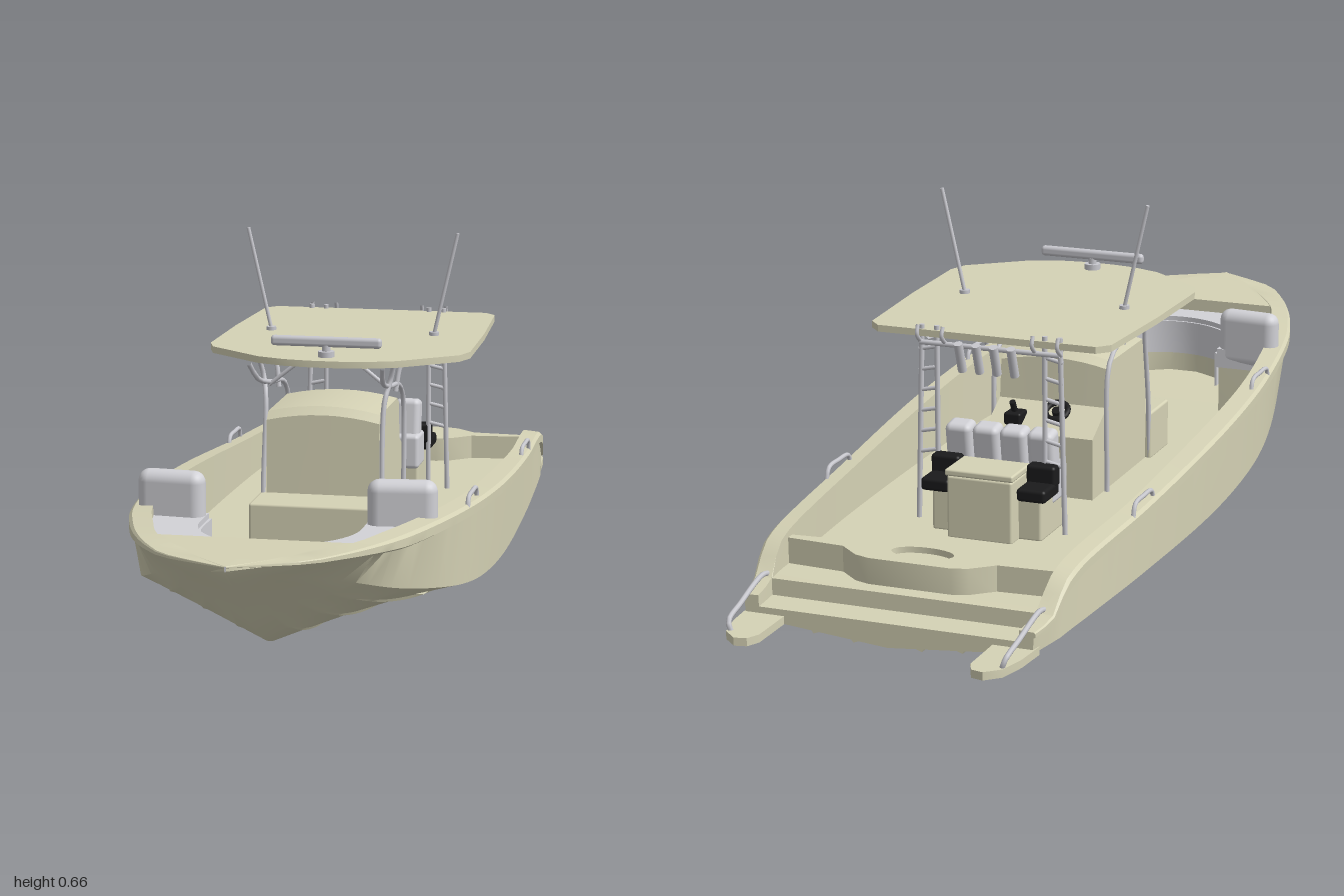
import * as THREE from 'three';
import { toCreasedNormals } from 'three/addons/utils/BufferGeometryUtils.js';
import { RoundedBoxGeometry } from 'three/addons/geometries/RoundedBoxGeometry.js';

const mat = (name, color) => Object.assign(new THREE.MeshStandardMaterial({ color }), { name });

export function createModel() {
  const boat = new THREE.Group();
  boat.name = 'centerConsoleBoat';
  const gelcoat = mat('olive gelcoat', 0xd5d2b5);
  const cushion = mat('grey cushion', 0xd2d2d7);
  const metal = mat('grey metal', 0xc8c8ce);
  const black = mat('black trim', 0x1b1b1c);

  const add = (name, geo, material, x = 0, y = 0, z = 0) => {
    const m = new THREE.Mesh(geo, material);
    m.name = name;
    m.position.set(x, y, z);
    boat.add(m);
    return m;
  };
  // Rounded box from its limits
  const box = (name, material, x0, x1, y0, y1, z0, z1, r) =>
    add(name, new RoundedBoxGeometry(x1 - x0, y1 - y0, z1 - z0, 3, r), material, (x0 + x1) / 2, (y0 + y1) / 2, (z0 + z1) / 2);
  const tube = (name, pts, r = 0.005) => {
    const curve = new THREE.CatmullRomCurve3(pts.map(p => new THREE.Vector3(...p)), false, 'centripetal');
    add(name, new THREE.TubeGeometry(curve, pts.length > 2 ? 20 : 1, r, 8), metal);
  };
  const rod = (name, a, b, r, material = metal) => {
    const A = new THREE.Vector3(...a), d = new THREE.Vector3(...b).sub(A);
    const m = add(name, new THREE.CylinderGeometry(r, r, d.length(), 12), material);
    m.position.copy(A).addScaledVector(d, 0.5);
    m.quaternion.setFromUnitVectors(new THREE.Vector3(0, 1, 0), d.normalize());
  };
  // Plan outline in (x, z) raised from y0 to y1
  const plan = (name, material, pts, y0, y1, hole) => {
    const v = list => list.map(([x, z]) => new THREE.Vector2(x, -z));
    const shape = new THREE.Shape(v(pts));
    if (hole) shape.holes.push(new THREE.Path(v(hole)));
    const geo = new THREE.ExtrudeGeometry(shape, { depth: y1 - y0, bevelEnabled: false });
    geo.rotateX(-Math.PI / 2);
    return add(name, toCreasedNormals(geo, 0.6), material, 0, y0, 0);
  };
  const mirrored = half => [...half, ...half.slice().reverse().map(([x, z]) => [-x, z])];
  const arc = (cx, cz, rx, rz, a0, a1, n) => Array.from({ length: n }, (_, i) => {
    const a = a0 + (a1 - a0) * i / (n - 1);
    return [cx + rx * Math.cos(a), cz + rz * Math.sin(a)];
  });
  const oval = (rx, rz) => arc(0, -0.71, rx, rz, 0, Math.PI * 1.92, 24);
  const both = f => [1, -1].forEach(f);

  // Hull guides: z, sheer half width, sheer y, chine x, chine y, keel y, coaming x
  const guides = [
    [-0.87, 0.28, 0.075, 0.275, 0.035, 0.01, 0.25],
    [-0.805, 0.29, 0.085, 0.285, 0.035, 0.009, 0.255],
    [-0.77, 0.295, 0.12, 0.29, 0.035, 0.008, 0.26],
    [-0.74, 0.298, 0.138, 0.292, 0.036, 0.008, 0.262],
    [-0.66, 0.302, 0.152, 0.297, 0.036, 0.007, 0.265],
    [-0.4, 0.317, 0.167, 0.31, 0.036, 0.005, 0.28],
    [-0.05, 0.329, 0.195, 0.32, 0.04, 0.004, 0.288],
    [0.2, 0.325, 0.214, 0.316, 0.055, 0.004, 0.285],
    [0.37, 0.31, 0.225, 0.3, 0.077, 0.005, 0.27],
    [0.56, 0.282, 0.237, 0.262, 0.115, 0.011, 0.24],
    [0.68, 0.25, 0.241, 0.225, 0.145, 0.036, 0.207],
    [0.77, 0.217, 0.244, 0.18, 0.174, 0.082, 0.177],
    [0.86, 0.172, 0.247, 0.125, 0.203, 0.145, 0.12],
    [0.93, 0.12, 0.249, 0.07, 0.222, 0.192, 0.07],
    [1.0, 0.002, 0.25, 0.0015, 0.242, 0.24, 0.001],
  ];
  // Smooth interpolation of every guide column at z
  const guideAt = z => {
    const last = guides.length - 1;
    let i = 0;
    while (i < last - 1 && guides[i + 1][0] < z) i++;
    const a = guides[i], b = guides[i + 1], dz = b[0] - a[0], t = (z - a[0]) / dz;
    const slope = (k, c) => {
      const p = guides[Math.max(k - 1, 0)], q = guides[Math.min(k + 1, last)];
      return (q[c] - p[c]) / (q[0] - p[0]) * dz;
    };
    return a.map((_, c) => a[c] * (1 + 2 * t) * (1 - t) ** 2 + b[c] * t * t * (3 - 2 * t)
      + slope(i, c) * t * (1 - t) ** 2 + slope(i + 1, c) * t * t * (t - 1));
  };
  // Bench height, well half width and floor height at z
  const interior = (z, y, ix) => {
    if (z > 0.7705) return [y + 0.001, ix * 0.9, y + 0.001];
    if (z > 0.7105) return [0.185, 0.002, 0.185];
    if (z > 0.4905) {
      const t = Math.max(0, z - 0.56) / 0.153;
      return [0.185, 0.154 * Math.sqrt(Math.max(0.0004, 1 - t * t)), 0.086 + 0.014 * t];
    }
    const floor = z < -0.8045 ? 0.055 : 0.086;
    return [floor, ix - 0.003, floor];
  };
  const section = z => {
    const [, w, y, cx, cy, ky, ix] = guideAt(z);
    const [benchY, wellX, floorY] = interior(z, y, ix);
    const fade = Math.min(1, Math.max(0, (0.8 - z) / 0.3));
    const k = Math.min(1, (y - cy) / 0.1);
    const half = [[0, ky]];
    // stepped lifting strakes
    for (const t of [0.24, 0.52, 0.78]) {
      const py = ky + (cy - ky) * t;
      half.push([cx * (t - 0.04), py - (cy - ky) * 0.04], [cx * t, py - 0.005 * fade], [cx * (t + 0.012), py + (cy - ky) * 0.012]);
    }
    half.push([cx, cy], [w - 0.007 * k, y - 0.026 * k], [w, y - 0.022 * k], [w, y - 0.006 * k], [w - 0.006 * k, y],
      [ix, y + 0.003 * k], [ix - 0.001, benchY], [wellX, benchY], [wellX, floorY], [0, floorY]);
    return [...half, ...half.slice(1, -1).reverse().map(([x, v]) => [-x, v])].map(([x, v]) => [x, v, z]);
  };
  const breaks = [-0.87, -0.805, -0.804, -0.66, 0.49, 0.491, 0.56, 0.71, 0.711, 0.77, 0.771, 1];
  const zs = breaks.slice(1).flatMap((b, i) => {
    const a = breaks[i], steps = Math.ceil((b - a) / 0.035);
    return Array.from({ length: steps }, (_, j) => a + (b - a) * j / steps);
  }).concat(1);
  const rings = zs.map(section), n = rings[0].length, index = [];
  for (let i = 0; i < rings.length - 1; i++) {
    for (let j = 0; j < n; j++) {
      const a = i * n + j, b = i * n + (j + 1) % n, c = b + n, d = a + n;
      index.push(a, b, d, b, c, d);
    }
  }
  THREE.ShapeUtils.triangulateShape(rings[0].map(p => new THREE.Vector2(p[0], p[1])), [])
    .forEach(([a, b, c]) => index.push(c, b, a));
  const hull = new THREE.BufferGeometry();
  hull.setAttribute('position', new THREE.Float32BufferAttribute(rings.flat(2), 3));
  hull.setIndex(index);
  add('hull', toCreasedNormals(hull, 0.5), gelcoat);

  // Stern bulkhead with livewell, swim pads and rails
  plan('sternBulkhead', gelcoat, mirrored([[0.08, -0.645], [0.11, -0.655], [0.15, -0.69], [0.263, -0.7],
    [0.263, -0.718], [0.15, -0.725], [0.11, -0.76], [0.08, -0.77]]), 0.08, 0.135, oval(0.06, 0.03));
  plan('livewellLid', gelcoat, oval(0.055, 0.026), 0.08, 0.125);
  both(s => {
    plan('swimPad', gelcoat, [[0.2, -0.85], [0.2, -0.97], [0.212, -0.995], [0.235, -1], [0.262, -0.975],
      [0.275, -0.92], [0.28, -0.85]].map(([x, z]) => [s * x, z]), 0.028, 0.043);
    tube('sternRail', [[s * 0.267, 0.09, -0.79], [s * 0.267, 0.095, -0.82], [s * 0.265, 0.073, -0.91],
      [s * 0.262, 0.056, -0.965], [s * 0.255, 0.035, -0.965]], 0.005);
    // Gunwale grab rails
    [[0.29, 0.219], [-0.4, 0.167]].forEach(([z, y]) => tube('grabRail', [[s * 0.308, y - 0.01, z - 0.055],
      [s * 0.308, y + 0.014, z - 0.045], [s * 0.308, y + 0.018, z], [s * 0.308, y + 0.014, z + 0.045],
      [s * 0.308, y - 0.01, z + 0.055]], 0.0045));
    // Bow backrests
    box('bowBackrest', cushion, s * 0.215 - 0.064, s * 0.215 + 0.064, 0.185, 0.303, 0.485, 0.53, 0.022).rotation.y = s * 0.1;
  });

  // Bow seating in a U
  const inner = arc(0, 0.56, 0.15, 0.15, Math.PI, 0, 25);
  plan('bowSeatCushion', cushion, [[0.15, 0.49], [0.252, 0.49], [0.238, 0.57], [0.206, 0.68], [0.177, 0.77],
    [-0.177, 0.77], [-0.206, 0.68], [-0.238, 0.57], [-0.252, 0.49], [-0.15, 0.49], ...inner], 0.18, 0.22);
  plan('bowSeatFront', cushion, [[-0.15, 0.49], ...inner, [0.15, 0.49], [0.145, 0.49],
    ...arc(0, 0.56, 0.145, 0.145, 0, Math.PI, 25), [-0.145, 0.49]], 0.14, 0.21);

  // Console: side profile (z, y) swept across, with a crowned top
  const mid = -0.012;
  const side = [[0.13, 0.083], [0.12, 0.335], [0.105, 0.35], [-0.07, 0.35], [-0.09, 0.338], [-0.098, 0.25],
    [-0.175, 0.207], [-0.175, 0.083]];
  const consoleGeo = new THREE.ExtrudeGeometry(new THREE.Shape(side.map(([z, y]) => new THREE.Vector2(-z, y))),
    { depth: 0.222, steps: 8, bevelEnabled: false });
  consoleGeo.rotateY(Math.PI / 2).translate(-0.111, 0, 0);
  const cp = consoleGeo.attributes.position;
  for (let i = 0; i < cp.count; i++) {
    if (cp.getY(i) > 0.3) cp.setY(i, cp.getY(i) - 0.013 * (cp.getX(i) / 0.11) ** 2);
  }
  add('console', toCreasedNormals(consoleGeo, 0.4), gelcoat, mid);
  box('consoleFrontSeat', gelcoat, -0.135, 0.105, 0.083, 0.18, 0.125, 0.23, 0.005);
  const wheel = add('steeringWheel', new THREE.TorusGeometry(0.022, 0.006, 8, 20), black, -0.04, 0.25, -0.15);
  wheel.rotation.x = 1;
  rod('steeringHub', [-0.04, 0.225, -0.135], [-0.04, 0.252, -0.15], 0.01, black);
  box('throttleBase', black, 0.03, 0.065, 0.215, 0.24, -0.165, -0.125, 0.005);
  rod('throttleLever', [0.048, 0.235, -0.145], [0.048, 0.262, -0.16], 0.006, black);

  // Leaning post: base, cooler, rear seats and four backrests
  box('leaningPostBase', gelcoat, mid - 0.11, mid + 0.11, 0.083, 0.17, -0.44, -0.32, 0.006);
  box('cooler', gelcoat, mid - 0.065, mid + 0.065, 0.083, 0.205, -0.475, -0.39, 0.005);
  box('coolerLid', gelcoat, mid - 0.068, mid + 0.068, 0.205, 0.218, -0.478, -0.385, 0.004);
  both(s => {
    const x = mid + s * 0.096;
    box('rearSeat', black, x - 0.029, x + 0.029, 0.165, 0.19, -0.46, -0.385, 0.007);
    box('rearSeatBack', black, x - 0.029, x + 0.029, 0.18, 0.222, -0.41, -0.38, 0.007);
  });
  box('helmSeat', cushion, mid - 0.112, mid + 0.112, 0.14, 0.21, -0.385, -0.31, 0.008);
  for (let i = 0; i < 4; i++) {
    const x = mid - 0.0825 + i * 0.055;
    box('helmBackrest', cushion, x - 0.026, x + 0.026, 0.19, 0.278, -0.38, -0.335, 0.012).rotation.x = -0.15;
  }

  // Hardtop
  plan('hardtop', gelcoat, mirrored([[0.12, -0.393], [0.218, -0.393], [0.24, -0.37], [0.253, -0.15], [0.257, 0.05],
    [0.243, 0.09], [0.135, 0.175], [0.08, 0.195], [0.03, 0.202]]), 0.444, 0.457).position.x = 0.007;

  // Hardtop frame, rear ladders and antennas
  both(s => {
    const X = v => mid + s * v;
    tube('frontLeg', [[X(0.13), 0.445, 0.19], [X(0.123), 0.41, 0.15], [X(0.119), 0.385, 0.06],
      [X(0.117), 0.365, -0.06], [X(0.117), 0.33, -0.105], [X(0.117), 0.085, -0.11]]);
    tube('middleLeg', [[X(0.135), 0.445, 0.09], [X(0.125), 0.4, 0.08], [X(0.117), 0.36, 0.1], [X(0.117), 0.2, 0.125],
      [X(0.117), 0.085, 0.13]]);
    tube('roofBrace', [[X(0.145), 0.445, -0.04], [X(0.125), 0.41, -0.03], [X(0.117), 0.36, -0.02]]);
    tube('crossBrace', [[X(0.119), 0.38, 0.06], [X(0.05), 0.435, 0.06]], 0.004);
    tube('sideRail', [[X(0.127), 0.41, -0.03], [s * 0.13, 0.437, -0.385]], 0.004);
    rod('ladderInnerLeg', [s * 0.108, 0.086, -0.385], [s * 0.108, 0.465, -0.385], 0.005);
    rod('ladderOuterLeg', [s * 0.148, 0.086, -0.385], [s * 0.138, 0.465, -0.385], 0.005);
    for (let i = 0; i < 6; i++) {
      const y = 0.22 + i * 0.04;
      rod('ladderRung', [s * 0.108, y + 0.005, -0.385], [s * 0.144, y - 0.003, -0.385], 0.004);
    }
    rod('antenna', [s * 0.165, 0.46, -0.115], [s * 0.211, 0.662, -0.115], 0.0038);
    rod('antennaBase', [s * 0.165, 0.455, -0.115], [s * 0.165, 0.464, -0.115], 0.01);
    for (const x of [0.09, 0.14]) {
      tube('roofHook', [[s * x, 0.43, -0.385], [s * x, 0.45, -0.405], [s * x, 0.468, -0.4]], 0.004);
    }
  });
  rod('rearCrossbar', [-0.14, 0.432, -0.39], [0.14, 0.432, -0.39], 0.005);
  for (let i = 0; i < 4; i++) {
    const x = -0.051 + i * 0.035;
    rod('rodHolder', [x, 0.385, -0.392], [x, 0.442, -0.412], 0.0085);
  }

  // Radar bar
  rod('radarPedestal', [0.002, 0.455, 0.155], [0.002, 0.468, 0.155], 0.016);
  rod('radarNeck', [0.002, 0.466, 0.155], [0.002, 0.48, 0.155], 0.008);
  box('radarBar', metal, -0.106, 0.11, 0.476, 0.496, 0.147, 0.163, 0.007);
  return boat;
}
